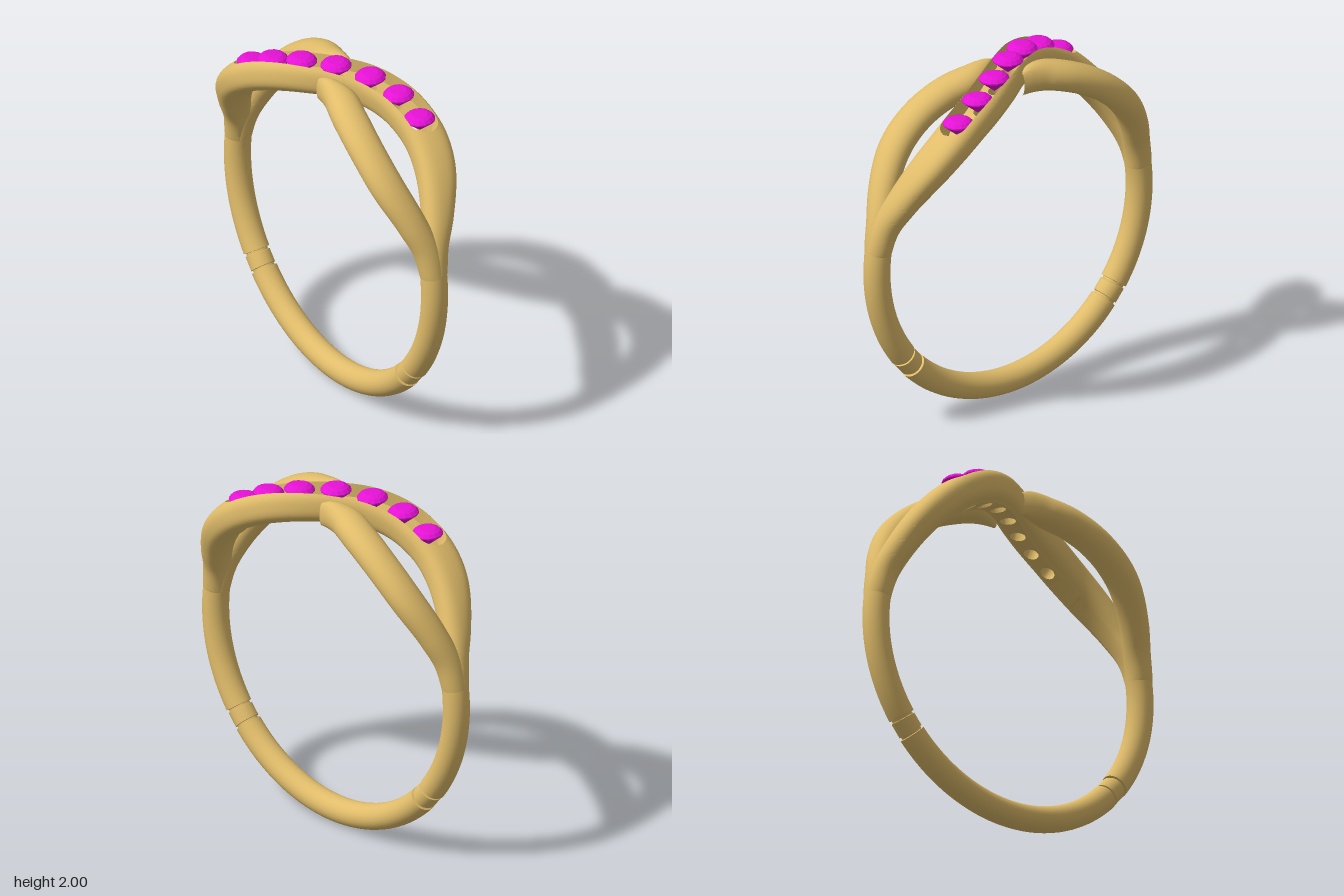
import * as THREE from 'three';
import { toCreasedNormals } from 'three/addons/utils/BufferGeometryUtils.js';

const CY = 0.97, INNER = 0.825, TUBE = 0.0725; // ring centre height, bore radius, band radius
const PITCH = 0.178, GEMS = 7;                 // angle between stones
const TILE_END = PITCH * GEMS / 2;             // drilled part of the channel
const CHANNEL = 0.085, CHANNEL_END = 0.638;    // channel half width and end angle
const STRIP = 0.055, HOLE = 0.043;             // drilled strip half width, hole radius
const END = 161 * PITCH / 20;                  // angle where strands join the band

const gold = new THREE.MeshStandardMaterial({ color: 0xe0bc6a });
const stone = new THREE.MeshStandardMaterial({ color: 0xe612d6, flatShading: true });

// Skin a list of closed loops; skip(i, j) leaves a quad open.
function loft(loops, skip = () => false) {
  const pos = [], n = loops[0].length;
  for (let i = 0; i < loops.length - 1; i++) {
    for (let j = 0; j < n; j++) {
      if (skip(i, j)) continue;
      const k = (j + 1) % n;
      const a = loops[i][j], b = loops[i + 1][j], c = loops[i + 1][k], d = loops[i][k];
      for (const p of [a, b, d, b, c, d]) pos.push(p.x, p.y, p.z);
    }
  }
  const g = new THREE.BufferGeometry();
  g.setAttribute('position', new THREE.Float32BufferAttribute(pos, 3));
  return toCreasedNormals(g, 0.6);
}

function addMesh(parent, name, geometry, material = gold) {
  const m = new THREE.Mesh(geometry, material);
  m.name = name;
  parent.add(m);
  return m;
}

// A strand that follows the ring; rows are [angle from top, z, half width, height].
function makeTrack(rows, odd) {
  const curve = new THREE.CubicInterpolant(rows.map(r => r[0]), rows.flatMap(r => r.slice(1)), 3);
  const at = t => {
    const [z, a, h] = curve.evaluate(Math.abs(t));
    return { z: odd && t < 0 ? -z : z, a, h };
  };
  const slope = t => (at(t + 0.004).z - at(t - 0.004).z) / 0.008;
  const frame = t => {
    const up = new THREE.Vector3(Math.sin(t), Math.cos(t), 0);
    const along = new THREE.Vector3(Math.cos(t), -Math.sin(t), 0).multiplyScalar(0.92);
    along.z = slope(t);
    const side = along.clone().cross(up).normalize();
    return { up, side, along: along.normalize() };
  };
  const point = (t, w, h, f = frame(t)) => new THREE.Vector3(0, CY, at(t).z)
    .addScaledVector(f.up, INNER + h).addScaledVector(f.side, w);
  return { at, slope, frame, point };
}

// Rounded side of a section, from bottom half width b to top half width g
function sidePoints(a, h, e, b, g, n) {
  const from = -Math.acos(Math.pow(Math.min(1, b / a), 1 / e));
  const to = Math.acos(Math.pow(Math.min(1, g / a), 1 / e));
  return Array.from({ length: n + 1 }, (_, i) => {
    const p = from + (to - from) * i / n, s = Math.sin(p);
    const y = h / 2 * (1 + Math.sign(s) * Math.pow(Math.abs(s), e));
    return [a * Math.pow(Math.max(0, Math.cos(p)), e), y];
  });
}

// Strand holding the stones: grooved on top and drilled through
function stoneStrand(group) {
  const track = makeTrack([
    [0, 0, 0.1, 0.205], [0.178, -0.1, 0.106, 0.2], [0.356, -0.165, 0.112, 0.193],
    [0.534, -0.193, 0.115, 0.185], [0.66, -0.195, 0.115, 0.178], [0.82, -0.172, 0.11, 0.168],
    [1.09, -0.09, 0.088, 0.152], [1.26, -0.03, 0.076, 0.147], [END, 0, TUBE, 0.145],
  ], true);
  const floorAt = t => track.at(t).h - 0.11;
  const angles = [], N = 16;
  for (let i = -161; i <= 161; i++) angles.push(i * PITCH / 20);
  const loops = angles.map(t => {
    const { a, h } = track.at(t), T = Math.abs(t), f = track.frame(t);
    const e = THREE.MathUtils.lerp(0.74, 1, THREE.MathUtils.smoothstep(T, 0.8, END));
    const past = Math.max(0, (T - CHANNEL_END + 0.09) / 0.09);
    const g = past < 1 ? CHANNEL * Math.sqrt(1 - past * past) : 0;
    const floor = past < 1 ? floorAt(t) : h;
    const b = Math.min(STRIP, a * 0.5), s = Math.min(STRIP, g);
    const right = sidePoints(a, h, e, b, g, N);
    right[0][1] = T < 0.8 ? 0 : right[0][1];
    right.push([g, floor], [s, floor]);
    const left = right.map(([w, y]) => [-w, y]).reverse();
    return [...right, ...left].map(([w, y]) => track.point(t, w, y, f));
  });
  const half = N + 3;
  const open = (i, j) => Math.abs(angles[i] + PITCH / 40) < TILE_END
    && (j === half - 1 || j === 2 * half - 1);
  addMesh(group, 'stoneStrand', loft(loops, open));

  // Faceted stones, each above its drilled hole
  const cut = new THREE.LatheGeometry([
    [0, -0.07], [0.084, 0], [0.084, 0.007], [0.068, 0.024], [0.045, 0.034], [0, 0.036],
  ].map(p => new THREE.Vector2(...p)), 14);
  for (let k = -3; k <= 3; k++) {
    const t0 = k * PITCH, ds = Math.hypot(0.9, track.slope(t0));
    const square = [], circle = [];
    for (let j = 0; j < 40; j++) {
      const p = j / 40 * Math.PI * 2, c = Math.cos(p), s = Math.sin(p);
      const m = Math.max(Math.abs(c), Math.abs(s));
      square.push([t0 + PITCH / 2 * c / m, STRIP * s / m]);
      circle.push([t0 + HOLE * c / ds, HOLE * s]);
    }
    const top = ([t, w]) => track.point(t, w, floorAt(t));
    const bottom = ([t, w]) => track.point(t, w, 0);
    addMesh(group, 'stoneSeat', loft([square.map(top), circle.map(top), circle.map(bottom), square.map(bottom)]));

    const gem = addMesh(group, 'stone', cut, stone);
    const f = track.frame(t0);
    gem.position.copy(track.point(t0, 0, track.at(t0).h - 0.037));
    gem.quaternion.setFromRotationMatrix(new THREE.Matrix4().makeBasis(f.along.clone().cross(f.side).negate().cross(f.side).negate(), f.up, f.side));
  }
}

// Plain strand: one half, emerging from the side of the stone strand
function plainStrand() {
  const track = makeTrack([
    [0, 0.112, 0.02, 0.13], [0.05, 0.105, 0.042, 0.155], [0.1, 0.1, 0.06, 0.165],
    [0.2, 0.098, 0.088, 0.168], [0.35, 0.13, 0.095, 0.166], [0.58, 0.155, 0.095, 0.162],
    [0.82, 0.143, 0.094, 0.158], [1.09, 0.075, 0.082, 0.15], [1.26, 0.025, 0.075, 0.147], [END, 0, TUBE, 0.145],
  ], false);
  const loops = [];
  for (let i = 0; i <= 110; i++) {
    const t = 0.004 + (END - 0.004) * i / 110, { a, h } = track.at(t), f = track.frame(t);
    const right = sidePoints(a, h, 0.95, 0, 0, 18);
    const left = right.slice(1, -1).map(([w, y]) => [-w, y]).reverse();
    loops.push([...right, ...left].map(([w, y]) => track.point(t, w, y, f)));
  }
  return loft(loops);
}

// Lower band with a grooved collar on each side
function band() {
  const collar = [[-0.062, TUBE], [-0.06, 0.06], [-0.046, 0.06], [-0.044, 0.069],
    [0.044, 0.069], [0.046, 0.06], [0.06, 0.06], [0.062, TUBE]];
  const at = Math.PI / 2 + 0.695, stops = [];
  const run = (a, b, n) => { for (let i = 0; i < n; i++) stops.push([a + (b - a) * i / n, TUBE]); };
  const grooves = c => collar.forEach(([d, r]) => stops.push([c + d, r]));
  run(END - 0.03, at - 0.062, 30);
  grooves(at);
  run(at + 0.07, Math.PI * 2 - at - 0.062, 50);
  grooves(Math.PI * 2 - at);
  run(Math.PI * 2 - at + 0.07, Math.PI * 2 - END + 0.03, 30);
  stops.push([Math.PI * 2 - END + 0.03, TUBE]);
  return loft(stops.map(([t, r]) => Array.from({ length: 32 }, (_, j) => {
    const p = j / 32 * Math.PI * 2, R = INNER + TUBE + r * Math.sin(p);
    return new THREE.Vector3(R * Math.sin(t), CY + R * Math.cos(t), r * Math.cos(p));
  })));
}

export function createModel() {
  const ring = new THREE.Group();
  ring.name = 'ring';
  addMesh(ring, 'band', band());
  stoneStrand(ring);
  const plain = plainStrand();
  addMesh(ring, 'plainStrandLeft', plain);
  addMesh(ring, 'plainStrandRight', plain).rotation.y = Math.PI;
  return ring;
}
